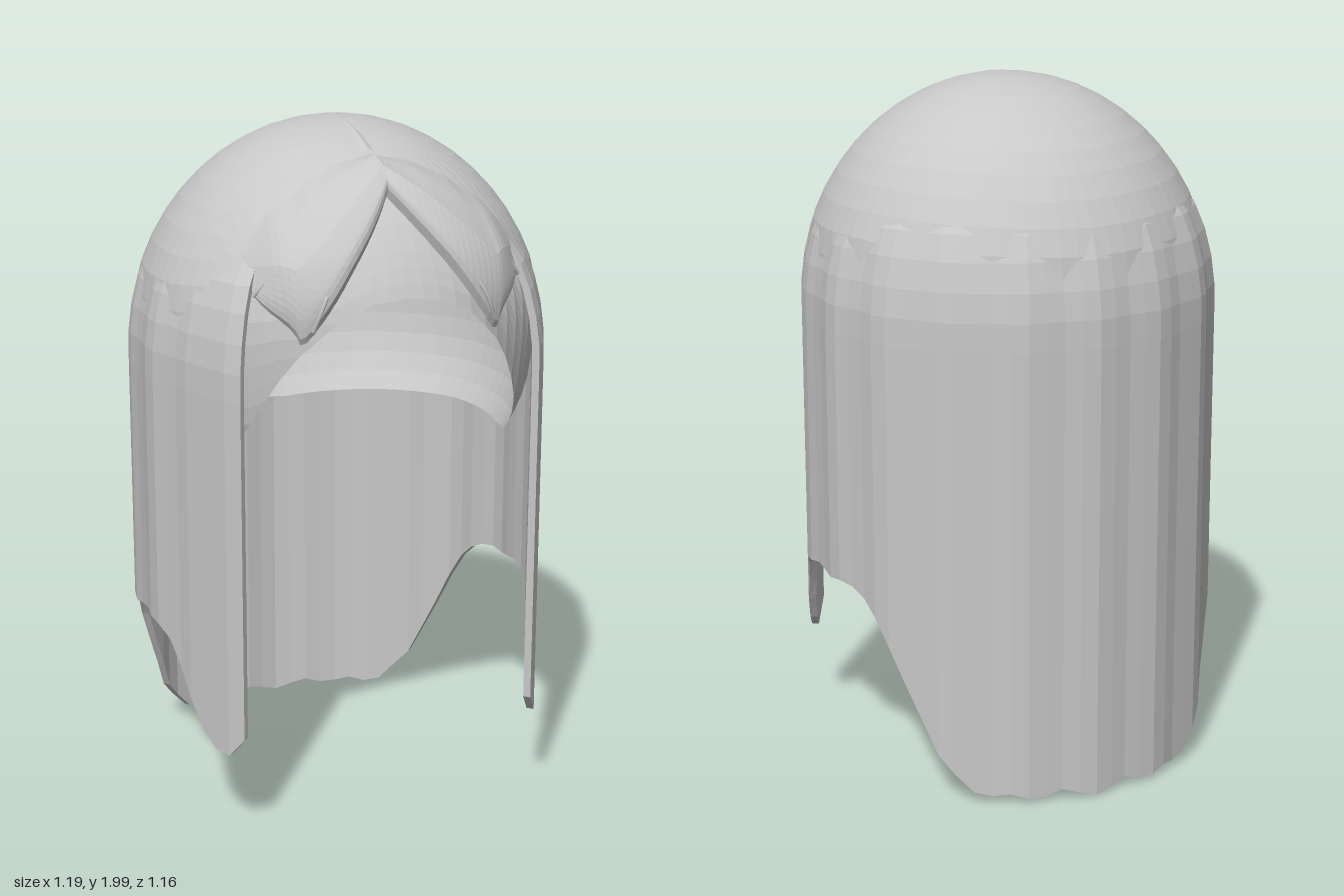
import * as THREE from 'three';
import { ParametricGeometry } from 'three/addons/geometries/ParametricGeometry.js';

const CY = 1.35, CZ = 0.03; // centre of the dome
const rad = THREE.MathUtils.degToRad;
const smooth = THREE.MathUtils.smoothstep;

// piecewise linear lookup in a list of [key, value]
function lookup(table, k) {
  if (k <= table[0][0]) return table[0][1];
  for (let i = 1; i < table.length; i++) {
    const [k0, v0] = table[i - 1], [k1, v1] = table[i];
    if (k <= k1) return v0 + (v1 - v0) * (k - k0) / (k1 - k0);
  }
  return table[table.length - 1][1];
}

// faceted surface from a rule
function surface(rule, nu, nv) {
  const g = new ParametricGeometry(rule, nu, nv).toNonIndexed();
  g.computeVertexNormals();
  return g;
}

const domeScale = (y) => Math.sqrt(Math.max(0, 1 - (Math.max(0, y - CY) / 0.65) ** 2));
const capRadius = (y) => 0.565 + 0.035 * smooth(y, 1.3, 1.62);

// heights by angle in degrees from the front
const CAP_RIM = [[0, 1.6], [10, 1.588], [20, 1.54], [32, 1.43], [48, 1.2], [60, 1.1], [75, 1.08], [110, 1.08], [180, 1.05]];
const HEM = [[44, 0.34], [47, 0.29], [51, 0.27], [57, 0.3], [62, 0.38], [68, 0.48], [75, 0.585], [80, 0.59],
  [88, 0.605], [97, 0.59], [105, 0.6], [115, 0.55], [121, 0.46], [127, 0.33], [136, 0.15], [147, 0.03],
  [152, 0.03], [157, 0.04], [163, 0.015], [170, 0.04], [180, 0.01]];

// domed cap with an arched front opening
function capGeometry() {
  return surface((u, v, p) => {
    const deg = u * 360, d = Math.min(deg, 360 - deg);
    const rim = lookup(CAP_RIM, d) - CY;
    const t0 = Math.asin(rim / (rim > 0 ? 0.65 : 0.5));
    const t = t0 + (Math.PI / 2 - t0) * v;
    const y = CY + Math.sin(t) * (t > 0 ? 0.65 : 0.5);
    const r = capRadius(y) * Math.cos(t);
    p.set(r * Math.sin(rad(deg)), y, CZ + r * Math.cos(rad(deg)));
  }, 72, 18);
}

// long thick curtain of hair round the sides and back
function curtainGeometry() {
  const cols = 58, rows = 9, loop = 2 * rows + 2;
  const levels = [1.2, 1.32, 1.4, 1.48, 1.56, 1.63, 1.7, 1.76];
  return surface((u, v, p) => {
    const col = Math.round(u * cols), k = Math.round(v * loop) % loop;
    const end = col === 0 || col === cols;
    const c = Math.min(Math.max(col, 1), cols - 1) - 1;
    const deg = 44 + 272 * c / (cols - 2), d = Math.min(deg, 360 - deg);
    const outer = k <= rows;
    const row = Math.min(outer ? k : loop - 1 - k, levels.length);
    const y = row === 0 ? lookup(HEM, d) : levels[row - 1];
    // outline flares at the front edges and ripples in broad locks
    const R = 0.6 + 0.034 * (1 - smooth(d, 44, 62)) + 0.006 * Math.cos(rad(d * 18)) * smooth(d, 50, 65)
      + 0.01 * Math.exp(-(((d - 135) / 20) ** 2)) - 0.004;
    const thick = end ? 0.011 : outer ? 0 : 0.022;
    const r = R * domeScale(y) - thick - 0.03 * smooth(y, 1.6, 1.76);
    p.set(r * Math.sin(rad(deg)), y, CZ + r * Math.cos(rad(deg)));
  }, cols, loop);
}

// point on the front of the dome, raised by h
function onDome(x, y, h, p) {
  const r = capRadius(y) * domeScale(y);
  const z = Math.sqrt(Math.max(0.0004, r * r - x * x));
  const n = new THREE.Vector3(x / 0.36, (y - CY) / 0.4225, z / 0.36).normalize();
  return p.set(x, y, CZ + z).addScaledVector(n, h);
}

// swept fringe, one half
const FRINGE_TOP = [[0, 1.94], [0.1, 1.93], [0.2, 1.89], [0.3, 1.82], [0.4, 1.7]];
const FRINGE_LOW = [[0, 0, 1.84], [0.3, 0.14, 1.66], [0.58, 0.265, 1.485], [0.64, 0.285, 1.475],
  [0.7, 0.295, 1.51], [0.85, 0.36, 1.57], [1, 0.42, 1.65]];
const FRINGE_LIFT = [[0, -0.008], [0.2, 0.024], [0.5, 0.045], [0.8, 0.042], [0.93, 0.032], [1, -0.015]];

function fringeHeight(u, v, y) {
  return lookup(FRINGE_LIFT, v) * (0.3 + 0.7 * smooth(y, 1.45, 1.7)) * (1 - smooth(u, 0.65, 1));
}

function fringeXY(u, v) {
  const xt = 0.4 * u, yt = lookup(FRINGE_TOP, xt);
  const xb = lookup(FRINGE_LOW.map(([k, x]) => [k, x]), u);
  const yb = lookup(FRINGE_LOW.map(([k, , y]) => [k, y]), u);
  return [xt + (xb - xt) * v, yt + (yb - yt) * v];
}

function fringeGeometry(side) {
  return surface((u, v, p) => {
    const uu = side > 0 ? u : 1 - u;
    const [x, y] = fringeXY(uu, 1 - v);
    onDome(x, y, fringeHeight(uu, 1 - v, y), p);
    p.x *= side;
  }, 22, 16);
}

// thin loose strand lying on the fringe
function strandGeometry(side, [x0, y0, x1, y1], lift) {
  const pts = [0, 0.33, 0.67, 1].map((t) => {
    const p = onDome(x0 + (x1 - x0) * t, y0 + (y1 - y0) * t, lift * Math.sin(Math.PI * (0.25 + 0.5 * t)), new THREE.Vector3());
    p.x *= side;
    return p;
  });
  return new THREE.TubeGeometry(new THREE.CatmullRomCurve3(pts), 8, 0.006, 5).toNonIndexed();
}

export function createModel() {
  const group = new THREE.Group();
  const hair = new THREE.MeshStandardMaterial({ color: 0xc8c8c8, side: THREE.DoubleSide });
  hair.name = 'pale grey hair';
  const add = (name, geometry) => {
    const mesh = new THREE.Mesh(geometry, hair);
    mesh.name = name;
    group.add(mesh);
  };

  add('cap', capGeometry());
  add('hairCurtain', curtainGeometry());

  for (const side of [1, -1]) {
    const label = side > 0 ? 'left' : 'right';
    add(label + 'Fringe', fringeGeometry(side));
    [[0.25, 1.52, 0.2, 1.63], [0.38, 1.6, 0.3, 1.69]].forEach((line, i) =>
      add(label + 'Strand' + (i + 1), strandGeometry(side, line, i ? 0.012 : 0.03)));
  }

  // narrow parting wedge on the crown
  add('parting', surface((u, v, p) => {
    const z = 0.06 + 0.22 * v, x = (u - 0.5) * 0.036 * v;
    const y = CY + 0.65 * Math.sqrt(1 - (x * x + (z - CZ) ** 2) / 0.36);
    p.set(x, y + 0.008 * v * (1 - Math.abs(2 * u - 1)), z);
  }, 2, 6));

  return group;
}
